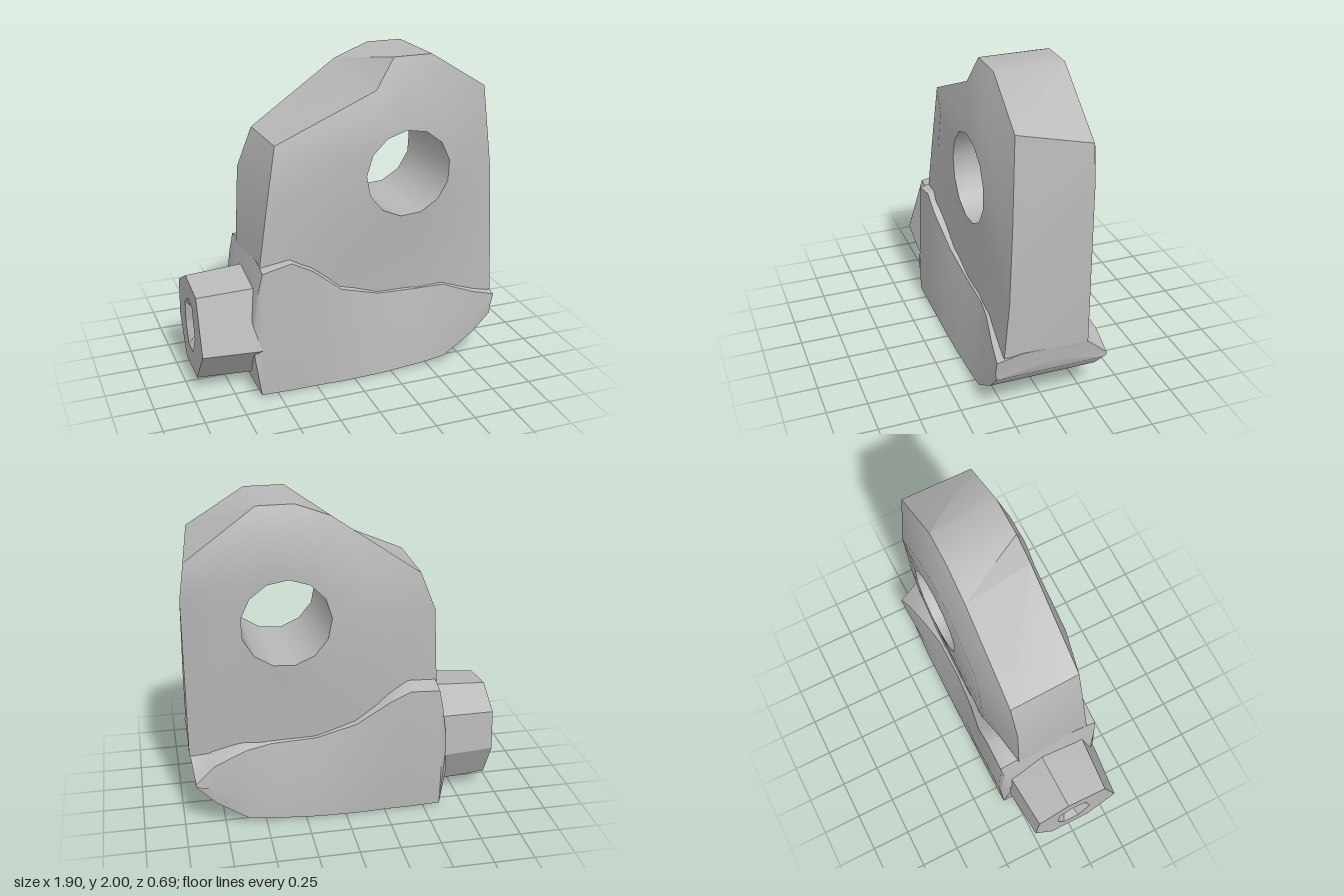
import * as THREE from 'three';
import { toCreasedNormals } from 'three/addons/utils/BufferGeometryUtils.js';

const stone = new THREE.MeshStandardMaterial({ color: 0xb8b8b8 });
stone.name = 'grey stone';

// Joins rings of equal point count; "closed" also joins the last ring to the first
function loft(rings, closed = false, crease = 0.6) {
  const n = rings[0].length;
  const index = [];
  const last = closed ? rings.length : rings.length - 1;
  for (let r = 0; r < last; r++) {
    const next = (r + 1) % rings.length;
    for (let i = 0; i < n; i++) {
      const j = (i + 1) % n;
      const a = r * n + i, b = r * n + j, c = next * n + i, d = next * n + j;
      index.push(a, b, c, b, d, c);
    }
  }
  const geo = new THREE.BufferGeometry();
  geo.setAttribute('position', new THREE.Float32BufferAttribute(rings.flat(2), 3));
  geo.setIndex(index);
  return toCreasedNormals(geo, crease);
}

// All points of a ring gathered at its middle, to cap a loft
function capOf(ring, x) {
  const mid = k => ring.reduce((s, p) => s + p[k], 0) / ring.length;
  return ring.map(() => [x ?? mid(0), mid(1), mid(2)]);
}

function addMesh(group, name, geometry) {
  const mesh = new THREE.Mesh(geometry, stone);
  mesh.name = name;
  group.add(mesh);
}

// Upright slab with a round through-hole; its faces swell at the hole and sink below it
function slabGeometry() {
  const frontRim = [
    [0.28, 2, 0.21], [0.52, 2, 0.21], [0.87, 1.78, 0.22], [0.925, 1.25, 0.25],
    [0.94, 0.8, 0.27], [0.94, 0.45, 0.3], [0.35, 0.25, 0.24], [-0.2, 0.25, 0.25],
    [-0.58, 0.3, 0.27], [-0.58, 0.82, 0.27], [-0.52, 1.2, 0.25],
    [-0.46, 1.55, 0.23], [0.16, 1.82, 0.24],
  ];
  const backRim = [
    [0.28, 2, -0.21], [0.5, 2, -0.21], [0.92, 1.69, -0.21], [0.95, 1.47, -0.21],
    [0.95, 0.8, -0.21], [0.95, 0.46, -0.21], [0.35, 0.25, -0.23], [-0.2, 0.25, -0.24],
    [-0.59, 0.3, -0.23], [-0.59, 0.82, -0.21], [-0.565, 1.3, -0.21],
    [-0.47, 1.54, -0.21], [0.07, 1.92, -0.21],
  ];
  // Depths halfway between hole and rim
  const frontMid = [0.28, 0.28, 0.275, 0.28, 0.27, 0.265, 0.255, 0.26, 0.275, 0.305, 0.305, 0.3, 0.285];
  const backMid = [0.295, 0.3, 0.3, 0.285, 0.27, 0.26, 0.255, 0.26, 0.27, 0.285, 0.295, 0.29, 0.29];
  const n = frontRim.length;
  const hole = z => frontRim.map((_, i) => {
    const t = THREE.MathUtils.degToRad(94) - (i / n) * Math.PI * 2;
    return [0.35 + 0.27 * Math.cos(t), 1.31 + 0.27 * Math.sin(t), z];
  });
  const between = (inner, outer, depths, side) => inner.map(([x, y], i) =>
    [(x + outer[i][0]) / 2, (y + outer[i][1]) / 2, depths[i] * side]);
  const frontHole = hole(0.305), backHole = hole(-0.295);
  return loft([
    frontHole, between(frontHole, frontRim, frontMid, 1), frontRim,
    backRim, between(backHole, backRim, backMid, -1), backHole,
  ], true);
}

// Thicker foot: cross-sections along x of
// [x, bottom, front top, back top, half depth at top, half depth at middle]
function footGeometry() {
  const stations = [
    [-0.64, 0.25, 0.5, 0.5, 0.29, 0.3], [-0.605, 0.01, 0.7, 0.7, 0.32, 0.34],
    [-0.58, 0.01, 0.81, 0.81, 0.33, 0.345], [-0.4, 0.005, 0.85, 0.82, 0.33, 0.345],
    [-0.27, 0.005, 0.78, 0.76, 0.33, 0.345], [-0.07, 0, 0.61, 0.61, 0.29, 0.33],
    [0.18, 0.005, 0.53, 0.53, 0.265, 0.315], [0.45, 0.025, 0.52, 0.52, 0.265, 0.315],
    [0.61, 0.045, 0.53, 0.5, 0.29, 0.325], [0.81, 0.18, 0.46, 0.43, 0.325, 0.34],
    [0.925, 0.3, 0.43, 0.33, 0.345, 0.347],
  ];
  const rings = stations.map(([x, low, front, back, z, wide]) => {
    const at = (top, t) => low + (top - low) * t;
    const edge = x > 0.9 ? x + 0.02 : x;
    return [
      [edge, front + 0.03, 0.2], [edge, front, z], [x, at(front, 0.4), wide],
      [x, low, 0.34], [x, low, -0.325], [x, at(back, 0.4), -wide],
      [x, back, -z], [edge, front + 0.03, -0.2],
    ];
  });
  return loft([capOf(rings[0]), ...rings, capOf(rings.at(-1))], false, 0.7);
}

// Faceted side spout with a shallow pit in its end
function spoutGeometry() {
  const profile = [
    [0.70, -0.05], [0.665, 0.21], [0.32, 0.315], [0.09, 0.13],
    [0.1, -0.14], [0.34, -0.27], [0.59, -0.25],
  ];
  const ring = (x, tall, wide) =>
    profile.map(([y, z]) => [x, 0.395 + (y - 0.395) * tall, z * wide]);
  const lip = ring(-0.955, 0.55, 0.4);
  return loft([capOf(lip, -0.83), lip, ring(-0.955, 1, 1), ring(-0.62, 1.06, 1.1),
    ring(-0.55, 1.05, 1.08)], false, 0.3);
}

export function createModel() {
  const model = new THREE.Group();
  model.name = 'piercedStone';
  addMesh(model, 'slab', slabGeometry());
  addMesh(model, 'foot', footGeometry());
  addMesh(model, 'spout', spoutGeometry());
  return model;
}
